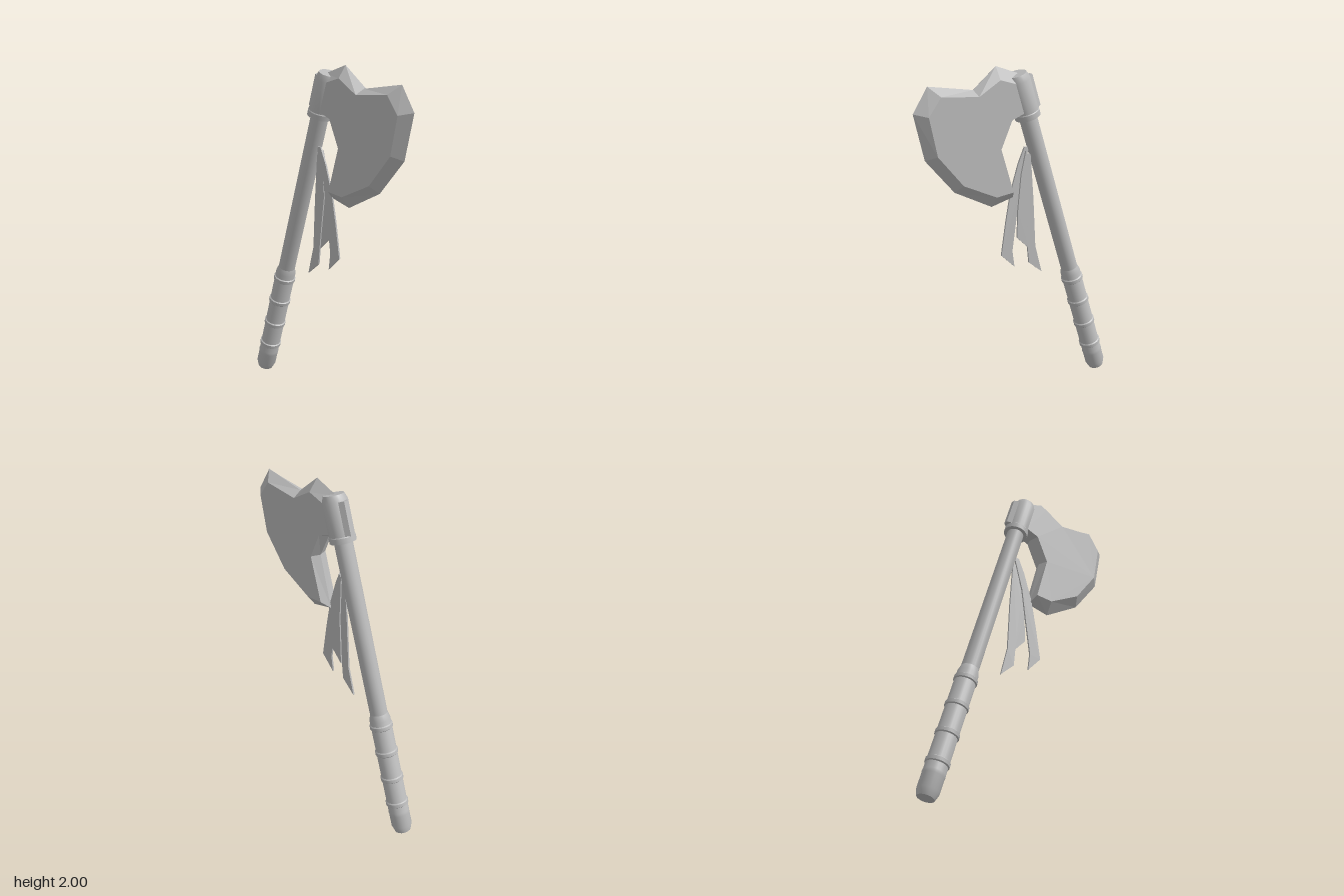
import * as THREE from 'three';
import { toCreasedNormals } from 'three/addons/utils/BufferGeometryUtils.js';

const grey = new THREE.MeshStandardMaterial({ color: 0xbbbbbb });
grey.name = 'plain grey';

function add(parent, name, geometry) {
  const mesh = new THREE.Mesh(geometry, grey);
  mesh.name = name;
  parent.add(mesh);
  return mesh;
}

// Turned part from [radius, height] pairs, bottom to top
function turned(profile) {
  const points = profile.map(([r, y]) => new THREE.Vector2(r, y));
  return toCreasedNormals(new THREE.LatheGeometry(points, 20), 0.5);
}

// Flat plate whose edge is bevelled on both sides to a ridge at z = 0
function bevelledPlate(outer, inner, half) {
  const pos = [];
  const tri = (a, b, c) => {
    const cross = (b[0] - a[0]) * (c[1] - a[1]) - (b[1] - a[1]) * (c[0] - a[0]);
    const front = cross > 0 ? [a, b, c] : [a, c, b];
    for (const p of front) pos.push(p[0], p[1], p[2]);
    for (const p of [...front].reverse()) pos.push(p[0], p[1], -p[2]);
  };
  const ridge = outer.map(([x, y]) => [x, y, 0]);
  const face = inner.map(([x, y]) => [x, y, half]);
  ridge.forEach((p, i) => {
    const j = (i + 1) % ridge.length;
    tri(p, ridge[j], face[j]);
    tri(p, face[j], face[i]);
  });
  const contour = inner.map(([x, y]) => new THREE.Vector2(x, y));
  for (const [a, b, c] of THREE.ShapeUtils.triangulateShape(contour, [])) tri(face[a], face[b], face[c]);
  const geometry = new THREE.BufferGeometry();
  geometry.setAttribute('position', new THREE.Float32BufferAttribute(pos, 3));
  geometry.computeVertexNormals();
  return geometry;
}

export function createModel() {
  const axe = new THREE.Group();
  axe.name = 'axe';

  // Leaning shaft: local y runs along the handle
  const shaft = new THREE.Group();
  shaft.name = 'shaft';
  shaft.position.set(-0.575, 0.014, 0);
  shaft.rotation.z = -0.3015;
  axe.add(shaft);

  add(shaft, 'handle', turned([[0.05, 0.7], [0.05, 1.85]]));
  add(shaft, 'grip', turned([
    [0, 0], [0.047, 0], [0.06, 0.04], [0.06, 0.12], [0.062, 0.13], [0.06, 0.14],
    [0.06, 0.74], [0.05, 0.775],
  ]));
  for (const y of [0.195, 0.36, 0.53, 0.695]) {
    add(shaft, 'gripRing', turned([
      [0.058, y - 0.017], [0.066, y - 0.01], [0.066, y + 0.01], [0.058, y + 0.017],
    ]));
  }

  // Socket holding the blade
  add(shaft, 'collar', turned([
    [0.045, 1.775], [0.072, 1.775], [0.072, 1.805], [0.069, 1.81], [0.069, 1.99], [0.056, 2.025], [0, 2.025],
  ]));

  // Wedge at the back of the socket, narrowing away from the blade
  const wedge = new THREE.BoxGeometry(0.07, 0.18, 0.12);
  const p = wedge.attributes.position;
  for (let i = 0; i < p.count; i++) {
    if (p.getX(i) < 0) p.setZ(i, Math.sign(p.getZ(i)) * 0.014);
  }
  wedge.computeVertexNormals();
  add(shaft, 'backWedge', wedge).position.set(-0.052, 1.9, 0);

  // Blade, ridge outline and flat-face outline
  const outer = [
    [0.0, 1.945], [0.15, 2.0], [0.285, 1.89], [0.545, 1.935], [0.63, 1.805], [0.575, 1.555],
    [0.41, 1.355], [0.185, 1.233], [0.048, 1.265], [0.13, 1.565], [0.06, 1.705], [-0.01, 1.735],
  ];
  const inner = [
    [0.01, 1.89], [0.152, 1.935], [0.278, 1.862], [0.495, 1.885], [0.567, 1.79], [0.525, 1.58],
    [0.38, 1.4], [0.18, 1.302], [0.075, 1.312], [0.15, 1.565], [0.082, 1.715], [0.0, 1.745],
  ];
  add(axe, 'blade', bevelledPlate(outer, inner, 0.053));

  // Hanging ribbons with slanted tips
  const ribbons = [
    [0, [[-0.065, 1.5], [-0.085, 1.23], [-0.1, 0.94], [-0.145, 0.77], [-0.058, 0.845], [-0.04, 1.02], [-0.01, 1.26], [-0.03, 1.5]]],
    [-0.008, [[-0.045, 1.5], [-0.035, 1.23], [-0.045, 1.02], [-0.048, 0.945], [0.027, 1.02], [0.022, 1.18], [0, 1.39], [-0.03, 1.52]]],
    [0.008, [[-0.06, 1.54], [-0.005, 1.34], [0.02, 1.15], [0.05, 0.94], [0.037, 0.84], [0.122, 0.925], [0.09, 1.13], [0.06, 1.29], [0.01, 1.45], [-0.03, 1.54]]],
  ];
  for (const [z, outline] of ribbons) {
    const shape = new THREE.Shape(outline.map(([x, y]) => new THREE.Vector2(x, y)));
    const strip = new THREE.ExtrudeGeometry(shape, { depth: 0.01, bevelEnabled: false });
    add(axe, 'ribbon', strip).position.z = z - 0.005;
  }
  return axe;
}
